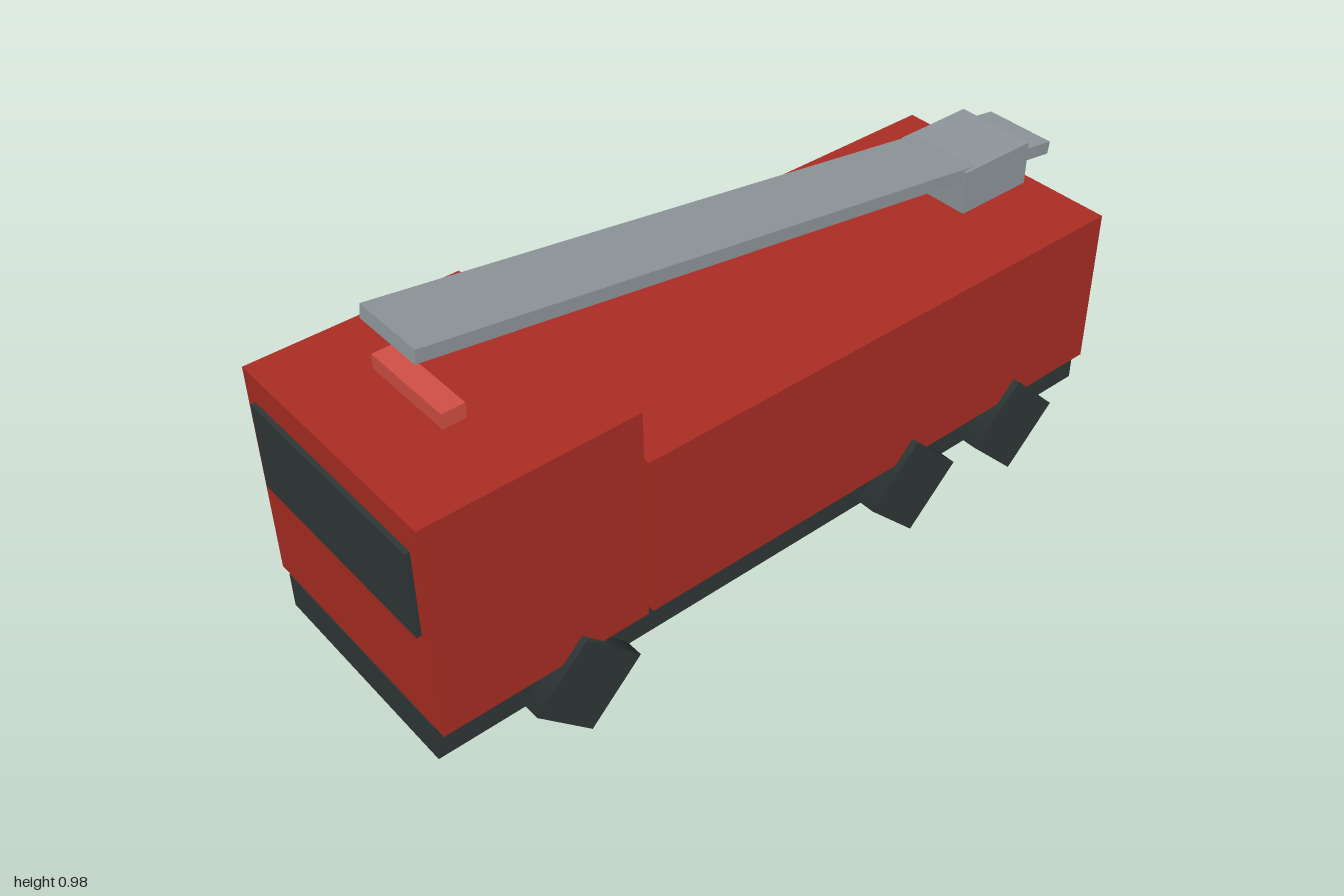
import * as THREE from 'three';

const material = (name, color) => {
  const m = new THREE.MeshStandardMaterial({ color });
  m.name = name;
  return m;
};

export function createModel() {
  const red = material('red paint', 0xa92d23);
  const dark = material('dark grey', 0x2e3736);
  const grey = material('ladder grey', 0x8e969b);
  const light = material('light red', 0xd04f44);

  const model = new THREE.Group();
  model.name = 'fireTruck';

  const add = (name, geometry, mat, x, y, z) => {
    const mesh = new THREE.Mesh(geometry, mat);
    mesh.name = name;
    mesh.position.set(x, y, z);
    model.add(mesh);
    return mesh;
  };
  // Box centred on x = 0, given by its width and its y and z ranges
  const block = (name, mat, width, y0, y1, z0, z1) =>
    add(name, new THREE.BoxGeometry(width, y1 - y0, z1 - z0), mat, 0, (y0 + y1) / 2, (z0 + z1) / 2);

  // Chassis and bodywork
  block('chassis', dark, 0.576, 0.13, 0.225, -0.96, 0.99);
  block('rearBody', red, 0.64, 0.225, 0.645, -0.95, 0.45);
  block('cab', red, 0.64, 0.225, 0.783, 0.463, 0.988);
  block('windshield', dark, 0.576, 0.49, 0.711, 0.982, 1.0);
  block('lightBar', light, 0.25, 0.797, 0.835, 0.742, 0.798);

  // Ladder, tilted up towards the cab, and its mount
  block('ladderMount', grey, 0.216, 0.657, 0.771, -0.905, -0.687);
  const ladder = add('ladder', new THREE.BoxGeometry(0.196, 0.033, 1.838), grey, 0, 0.8425, -0.0875);
  ladder.rotation.x = -0.1376;

  // Four-sided wheels standing on a corner, smooth across the tread
  const wheelGeometry = new THREE.CylinderGeometry(0.138, 0.138, 0.088, 4);
  wheelGeometry.rotateZ(Math.PI / 2);
  for (const side of [-1, 1]) {
    for (const z of [0.64, -0.336, -0.69]) {
      add(side > 0 ? 'leftWheel' : 'rightWheel', wheelGeometry, dark, side * 0.293, 0.14, z);
    }
  }

  return model;
}
